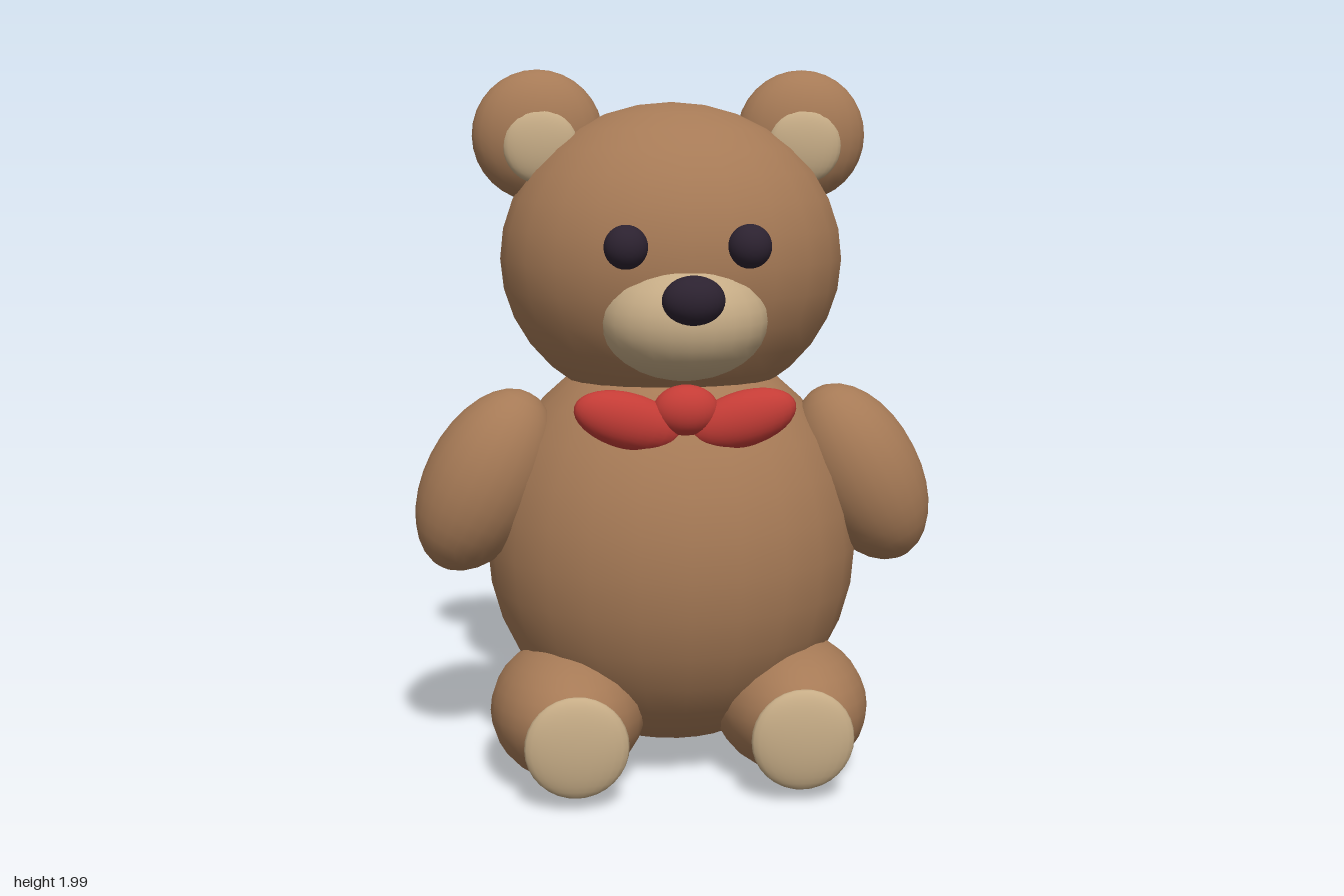
import * as THREE from 'three';

const mat = (name, color) => {
  const m = new THREE.MeshStandardMaterial({ color });
  m.name = name;
  return m;
};

export function createModel() {
  const bear = new THREE.Group();
  bear.name = 'teddyBear';
  const fur = mat('brownFur', 0xa67a56);
  const tan = mat('tanPlush', 0xc6ac86);
  const dark = mat('darkButton', 0x2c2230);
  const red = mat('redRibbon', 0xc43c36);

  // Every part is a stuffed ellipsoid: centre, radii, rotation
  const ball = new THREE.SphereGeometry(1, 24, 16);
  const add = (name, material, pos, radii, rot = [0, 0, 0]) => {
    const mesh = new THREE.Mesh(ball, material);
    mesh.name = name;
    mesh.position.set(...pos);
    mesh.scale.set(...radii);
    mesh.rotation.set(...rot);
    bear.add(mesh);
  };
  // Mirrored pair: left is +x
  const pair = (name, material, [x, y, z], radii, [rx, ry, rz] = [0, 0, 0]) => {
    for (const s of [1, -1]) {
      add((s > 0 ? 'left' : 'right') + name, material, [s * x, y, z], radii, [rx, s * ry, s * rz]);
    }
  };

  // Torso and head
  add('body', fur, [0, 0.64, -0.047], [0.54, 0.59, 0.507]);
  add('head', fur, [0, 1.47, -0.052], [0.49, 0.44, 0.442]);

  // Face
  add('snout', tan, [0, 1.325, 0.28], [0.228, 0.163, 0.2]);
  add('nose', dark, [0, 1.4, 0.493], [0.083, 0.065, 0.062]);
  pair('Eye', dark, [0.165, 1.53, 0.368], [0.059, 0.059, 0.055]);

  // Ears with pale linings
  pair('Ear', fur, [0.378, 1.815, -0.08], [0.186, 0.185, 0.117]);
  pair('InnerEar', tan, [0.373, 1.788, 0.013], [0.105, 0.105, 0.036]);

  // Arms, lower ends swung outward
  pair('Arm', fur, [0.543, 0.85, 0.05], [0.172, 0.28, 0.177], [0, 0, 0.48]);

  // Legs pointing forward, with foot pads
  pair('Leg', fur, [0.32, 0.202, 0.153], [0.22, 0.196, 0.327], [-0.08, 0, 0]);
  pair('FootPad', tan, [0.31, 0.185, 0.446], [0.143, 0.143, 0.039]);

  // Bow tie
  add('bowKnot', red, [0, 1.085, 0.318], [0.09, 0.07, 0.06]);
  pair('BowLoop', red, [0.158, 1.058, 0.316], [0.15, 0.077, 0.06], [0, 0, 0.28]);

  return bear;
}
